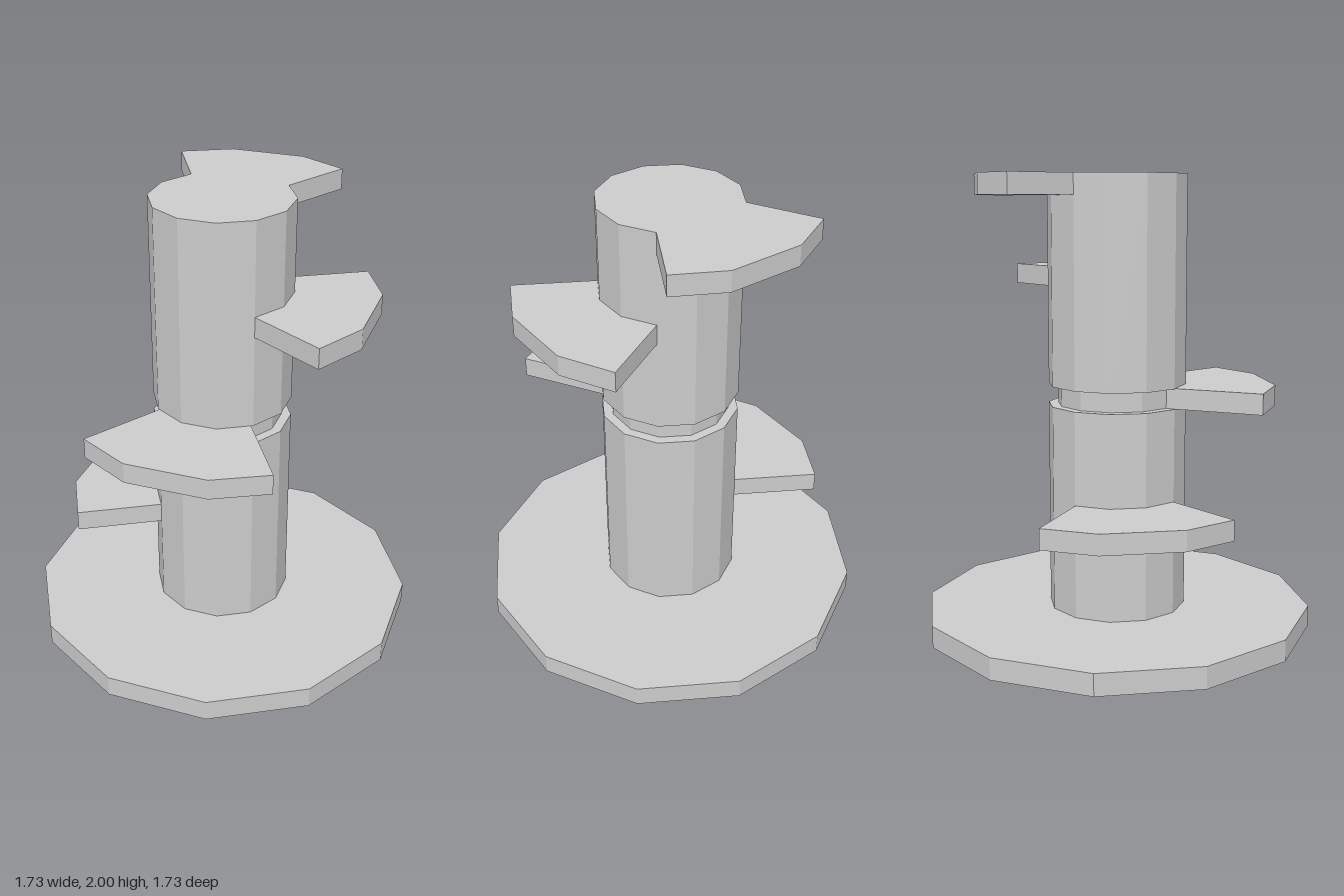
import * as THREE from 'three';

const SIDES = 12;
const material = new THREE.MeshStandardMaterial({ color: 0xcccccc, flatShading: true });

function addMesh(group, name, geometry) {
  const mesh = new THREE.Mesh(geometry, material);
  mesh.name = name;
  group.add(mesh);
}

// Twelve-sided upright drum between two heights
function addDrum(group, name, radius, bottom, top) {
  const geometry = new THREE.CylinderGeometry(radius, radius, top - bottom, SIDES);
  geometry.translate(0, (bottom + top) / 2, 0);
  addMesh(group, name, geometry);
}

// Flared step filling one quarter turn, hugging the column on its inner side
function addStep(group, name, quarter, inner, outer, bottom) {
  const polar = (r, degrees) => {
    const a = THREE.MathUtils.degToRad(degrees + quarter * 90);
    return new THREE.Vector2(r * Math.cos(a), r * Math.sin(a));
  };
  const tip = outer * 0.988;
  const shape = new THREE.Shape([
    polar(inner, 0), polar(tip, 8.4), polar(outer, 30), polar(outer, 60), polar(tip, 81.6),
    polar(inner, 90), polar(inner, 60), polar(inner, 30),
  ]);
  const geometry = new THREE.ExtrudeGeometry(shape, { depth: 0.09, bevelEnabled: false });
  geometry.rotateX(-Math.PI / 2);
  geometry.translate(0, bottom, 0);
  addMesh(group, name, geometry);
}

export function createModel() {
  const group = new THREE.Group();
  group.name = 'spiralStepColumn';

  // Base and column, with a narrow neck halfway up
  addDrum(group, 'base', 0.863, 0, 0.095);
  addDrum(group, 'lowerColumn', 0.304, 0.095, 1.005);
  addDrum(group, 'neck', 0.262, 1.005, 1.093);
  addDrum(group, 'upperColumn', 0.304, 1.093, 2);

  // Steps winding upward: quarter turn, inner radius, outer radius, underside height
  const steps = [
    [1, 0.304, 0.682, 0.507],
    [2, 0.262, 0.694, 1.004],
    [3, 0.304, 0.668, 1.503],
    [0, 0.304, 0.625, 1.91],
  ];
  steps.forEach((step, i) => addStep(group, `step${i + 1}`, ...step));
  return group;
}
